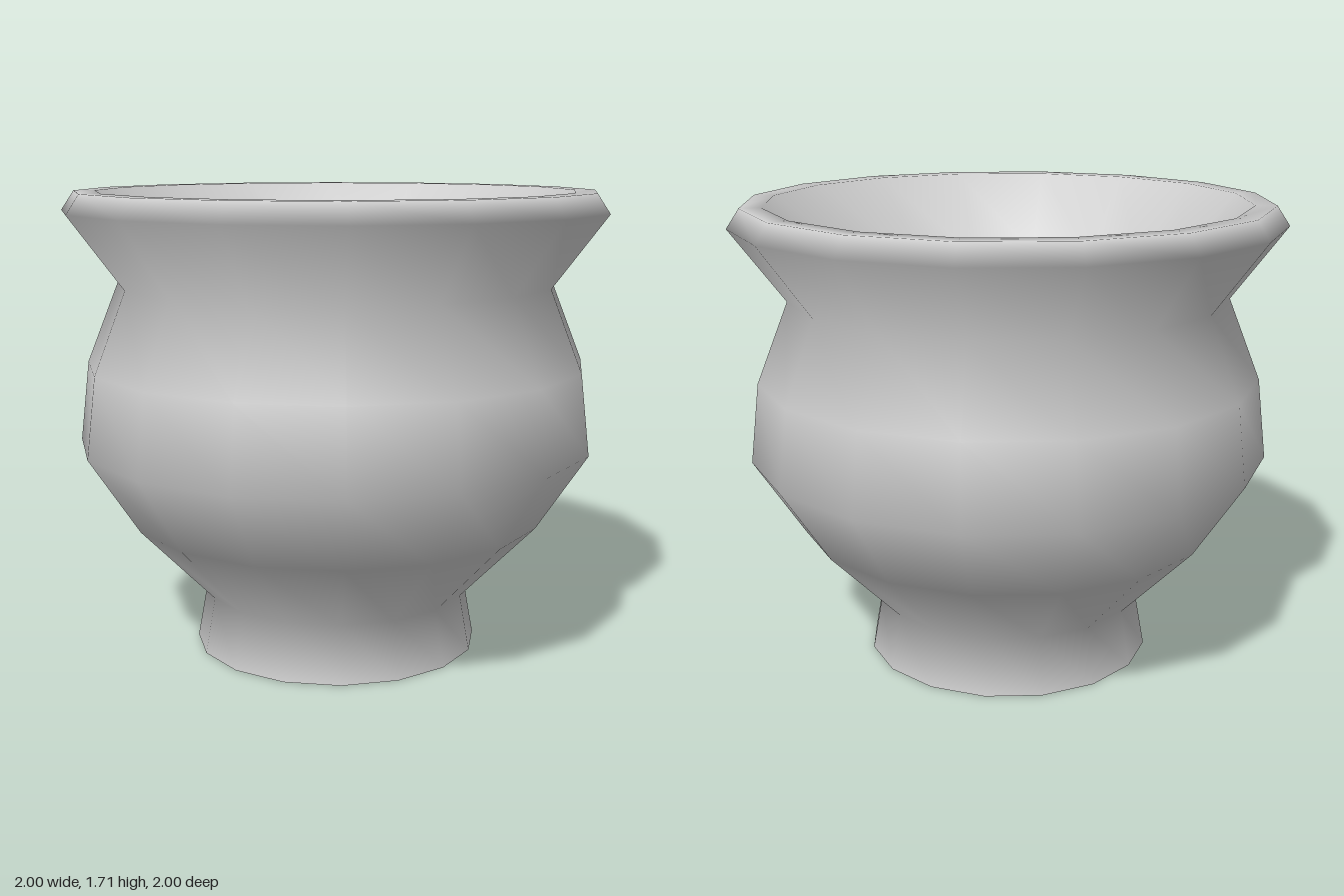
import * as THREE from 'three';

const SIDES = 16;
const TURN = Math.PI / 32; // the rings are turned a quarter of a side

export function createModel() {
  const group = new THREE.Group();
  group.name = 'pot';
  const material = new THREE.MeshStandardMaterial({ color: 0xcccccc });

  const add = (name, geometry, y = 0) => {
    const mesh = new THREE.Mesh(geometry, material);
    mesh.name = name;
    mesh.position.y = y;
    group.add(mesh);
  };

  // Wall: flared foot, round belly, pinched neck, bevelled lip, inner slope
  const profile = [
    [0.535, 0], [0.497, 0.21], [0.775, 0.5], [0.96, 0.785], [0.925, 1.08],
    [0.807, 1.375], [1.004, 1.64], [0.957, 1.71], [0.88, 1.71], [0.63, 1.43],
  ].map(([r, y]) => new THREE.Vector2(r, y));
  add('wall', new THREE.LatheGeometry(profile, SIDES, TURN));

  // Flat discs closing the pot: one faces up inside, one faces down
  const disc = (radius, down) => {
    const g = new THREE.CircleGeometry(radius, SIDES, down ? TURN : -TURN);
    // both start angles put a corner at the same place as the wall's rings
    g.rotateX(down ? Math.PI / 2 : -Math.PI / 2);
    if (down) g.rotateY(2 * TURN);
    else g.rotateY(2 * TURN);
    return g;
  };
  add('filling', disc(0.63, false), 1.43);
  add('base', disc(0.535, true), 0);

  return group;
}
